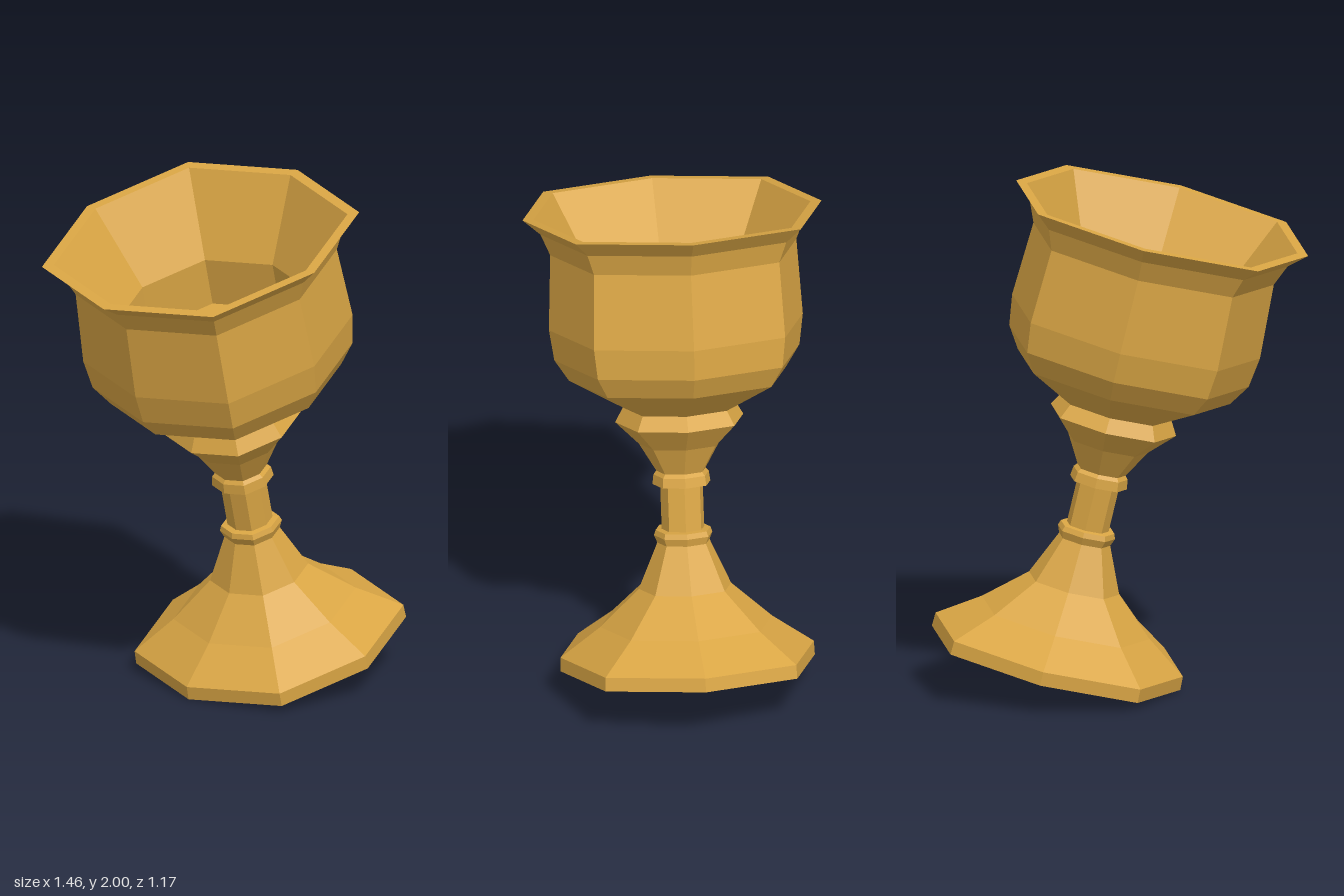
import * as THREE from 'three';

const brass = new THREE.MeshStandardMaterial({ color: 0xd9a544 });
brass.name = 'brass';

// Eight-sided turned part with flat faces; diagonal corners are pushed out a little
function turned(name, profile) {
  const lathe = new THREE.LatheGeometry(profile.map(([r, y]) => new THREE.Vector2(r, y)), 8);
  const pos = lathe.attributes.position;
  for (let i = 0; i < pos.count; i++) {
    const x = pos.getX(i), z = pos.getZ(i);
    if (Math.min(Math.abs(x), Math.abs(z)) > 0.001) pos.setXYZ(i, x * 1.065, pos.getY(i), z * 1.065);
  }
  const flat = lathe.toNonIndexed();
  flat.computeVertexNormals();
  const mesh = new THREE.Mesh(flat, brass);
  mesh.name = name;
  return mesh;
}

export function createModel() {
  const goblet = new THREE.Group();
  goblet.name = 'goblet';

  // Flared foot with its collar
  goblet.add(turned('foot', [
    [0, 0], [0.496, 0], [0.494, 0.054], [0.335, 0.165], [0.18, 0.306],
    [0.102, 0.485], [0.114, 0.515], [0.107, 0.535], [0.083, 0.538],
  ]));

  // Slim stem
  goblet.add(turned('stem', [[0.083, 0.538], [0.083, 0.717]]));

  // Ring and flared cup support
  goblet.add(turned('knop', [
    [0.083, 0.717], [0.113, 0.718], [0.108, 0.756], [0.096, 0.77],
    [0.16, 0.881], [0.25, 0.973], [0.218, 1.029],
  ]));

  // Bowl: outside, lip, then inside down to the floor
  goblet.add(turned('bowl', [
    [0.218, 1.029], [0.424, 1.15], [0.478, 1.234], [0.495, 1.355], [0.48, 1.652],
    [0.515, 1.736], [0.583, 1.797], [0.54, 1.797], [0.36, 1.49], [0.36, 1.295], [0, 1.295],
  ]));

  // The goblet leans to one side
  goblet.rotation.z = THREE.MathUtils.degToRad(13.27);
  goblet.position.set(0.2475, 0.114, 0);

  const model = new THREE.Group();
  model.name = 'leaningGoblet';
  model.add(goblet);
  return model;
}
